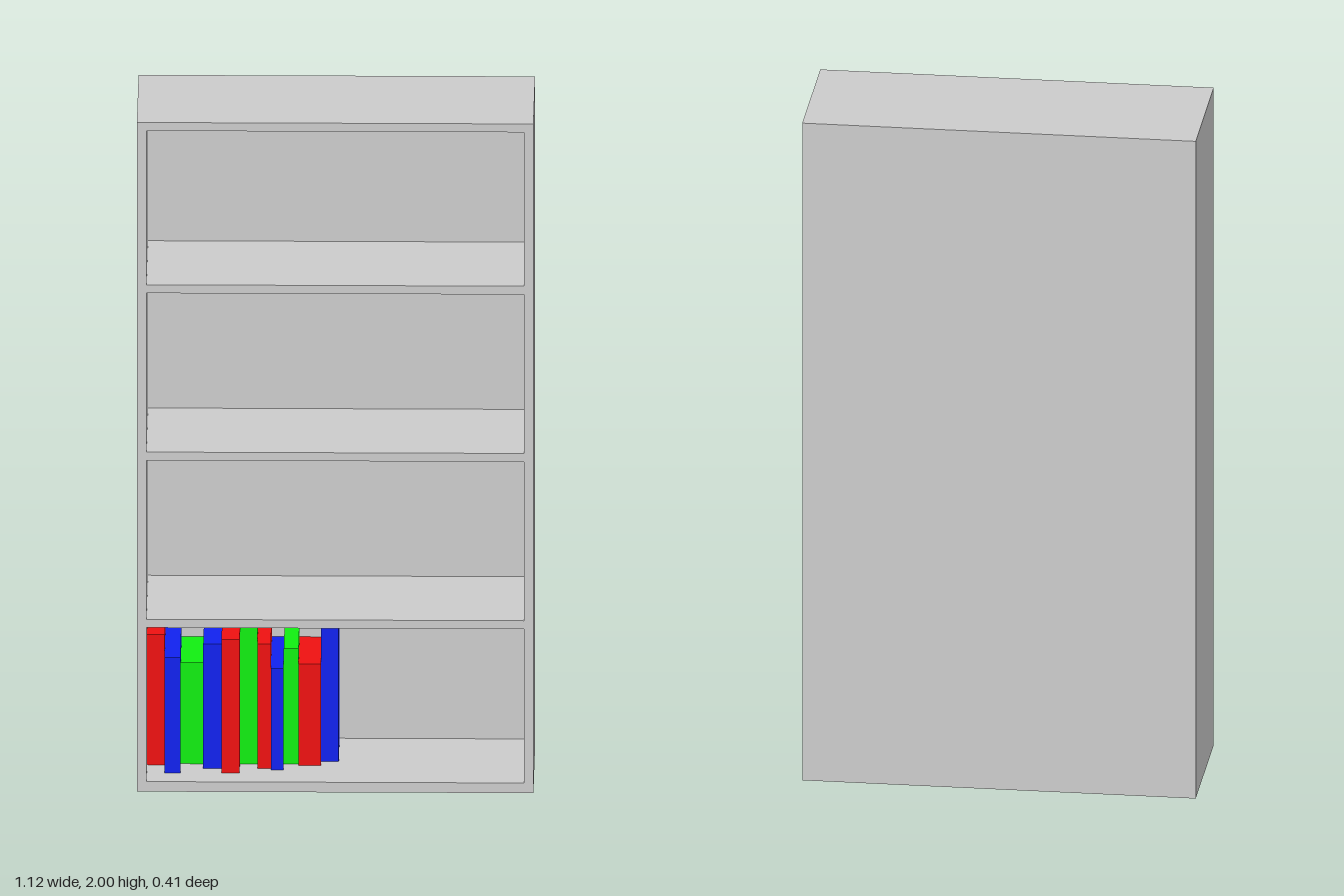
import * as THREE from 'three';

const W = 1.12, H = 2, D = 0.41, BACK = 0.03, WALL = 0.027, FLOOR = 0.03;
const INNER_BACK = -D / 2 + BACK;

function rect(target, x0, y0, x1, y1) {
  target.moveTo(x0, y0);
  target.lineTo(x1, y0);
  target.lineTo(x1, y1);
  target.lineTo(x0, y1);
  target.closePath();
  return target;
}

export function createModel() {
  const model = new THREE.Group();
  model.name = 'bookcase';
  const grey = new THREE.MeshStandardMaterial({ color: 0xcccccc });

  // Sides, top, base and shelves: one frame with four openings
  const shape = rect(new THREE.Shape(), -W / 2, 0, W / 2, H);
  const openings = [[FLOOR, 0.49], [0.515, 0.99], [1.015, 1.49], [1.515, 1.975]];
  for (const [y0, y1] of openings) {
    shape.holes.push(rect(new THREE.Path(), -W / 2 + WALL, y0, W / 2 - WALL, y1));
  }
  const frame = new THREE.Mesh(
    new THREE.ExtrudeGeometry(shape, { depth: D - BACK, bevelEnabled: false }), grey);
  frame.name = 'frameAndShelves';
  frame.position.z = INNER_BACK;
  model.add(frame);

  // Back panel
  const back = new THREE.Mesh(new THREE.BoxGeometry(W, H, BACK), grey);
  back.name = 'backPanel';
  back.position.set(0, H / 2, -D / 2 + BACK / 2);
  model.add(back);

  // Books on the bottom shelf: [colour, width, top, front z], packed from the right wall
  const colors = {
    red: new THREE.MeshStandardMaterial({ color: 0xee1111 }),
    green: new THREE.MeshStandardMaterial({ color: 0x11ee11 }),
    blue: new THREE.MeshStandardMaterial({ color: 0x1122ee }),
  };
  const rows = [
    ['red', 0.05, 0.42, 0.06], ['blue', 0.045, 0.375, 0.13], ['green', 0.064, 0.333, 0.05],
    ['blue', 0.052, 0.402, 0.09], ['red', 0.051, 0.43, 0.13], ['green', 0.05, 0.444, 0.05],
    ['red', 0.038, 0.402, 0.09], ['blue', 0.036, 0.333, 0.1], ['green', 0.042, 0.375, 0.05],
    ['red', 0.063, 0.333, 0.06], ['blue', 0.05, 0.434, 0.025],
  ];
  const books = new THREE.Group();
  books.name = 'books';
  let x = -W / 2 + WALL;
  rows.forEach(([color, width, top, front], i) => {
    const height = top - FLOOR, depth = front - INNER_BACK;
    const book = new THREE.Mesh(new THREE.BoxGeometry(width, height, depth), colors[color]);
    book.name = `book${i + 1}`;
    book.position.set(x + width / 2, FLOOR + height / 2, INNER_BACK + depth / 2);
    books.add(book);
    x += width;
  });
  model.add(books);

  return model;
}
